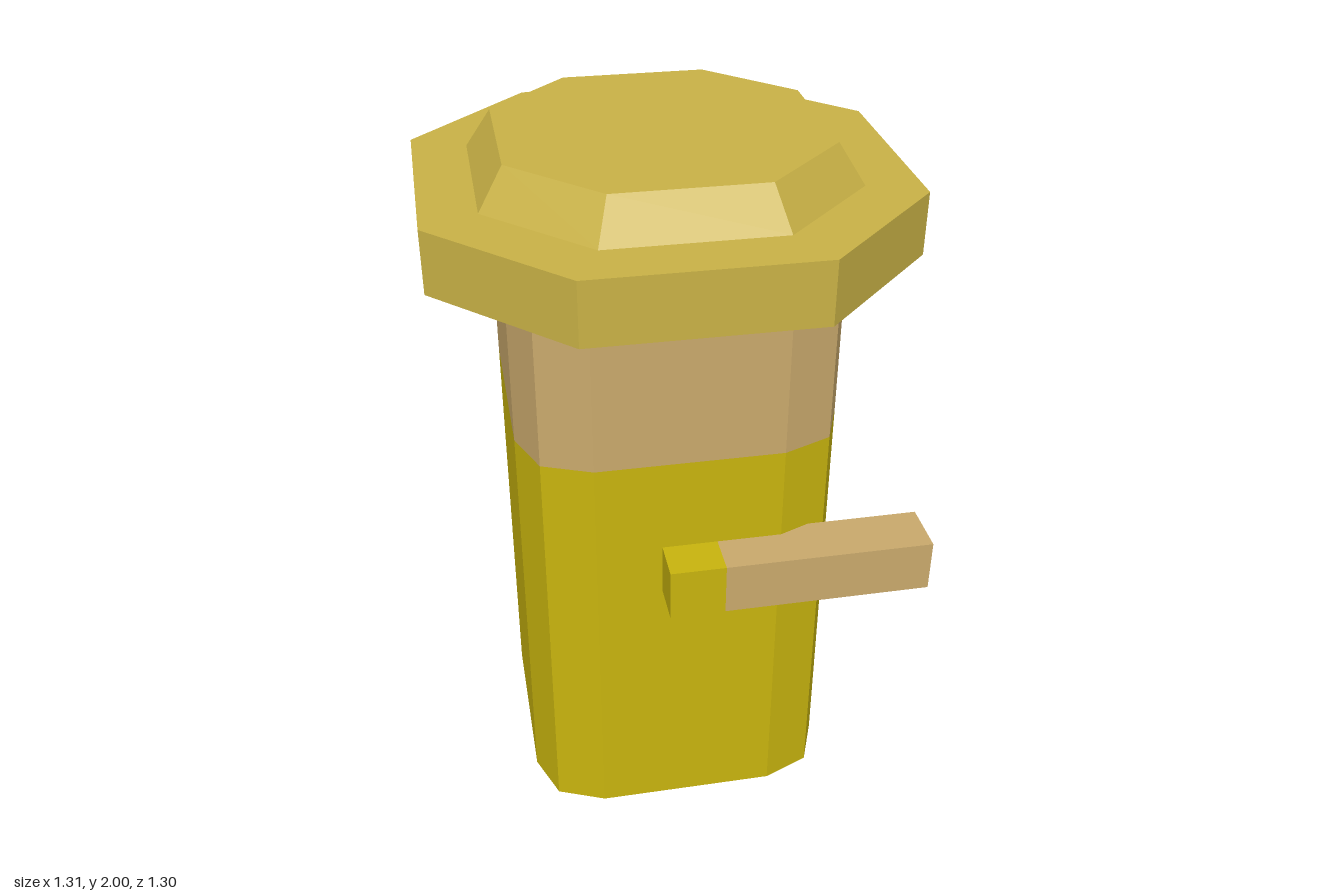
import * as THREE from 'three';

const mat = (color) => new THREE.MeshStandardMaterial({ color, flatShading: true });

// Mirror one corner's points (ordered from the +x side to the +z side) into a full outline of [x, z].
function outline(corner) {
  const back = [...corner].reverse();
  return [
    ...corner,
    ...back.map(([x, z]) => [-x, z]),
    ...corner.map(([x, z]) => [-x, -z]),
    ...back.map(([x, z]) => [x, -z]),
  ];
}

// Flat-sided solid through stacked outlines, with optional end caps.
function loft(rings, capBottom = true, capTop = true) {
  const pos = [];
  const n = rings[0].points.length;
  const at = (r, i) => [r.points[i % n][0], r.y, r.points[i % n][1]];
  for (let k = 0; k < rings.length - 1; k++) {
    const lo = rings[k], hi = rings[k + 1];
    for (let i = 0; i < n; i++) {
      const a = at(lo, i), b = at(lo, i + 1), c = at(hi, i + 1), d = at(hi, i);
      pos.push(...a, ...d, ...c, ...a, ...c, ...b);
    }
  }
  const first = rings[0], last = rings[rings.length - 1];
  for (let i = 1; i < n - 1; i++) {
    if (capBottom) pos.push(...at(first, 0), ...at(first, i), ...at(first, i + 1));
    if (capTop) pos.push(...at(last, 0), ...at(last, i + 1), ...at(last, i));
  }
  const g = new THREE.BufferGeometry();
  g.setAttribute('position', new THREE.Float32BufferAttribute(pos, 3));
  g.computeVertexNormals();
  return g;
}

export function createModel() {
  const model = new THREE.Group();
  const robe = mat(0xc8b40e), skin = mat(0xc9a96c), straw = mat(0xc9b246), dark = mat(0x2a2a2a);

  const add = (parent, name, geometry, material, x = 0, y = 0, z = 0) => {
    const mesh = new THREE.Mesh(geometry, material);
    mesh.name = name;
    mesh.position.set(x, y, z);
    parent.add(mesh);
    return mesh;
  };
  const box = (parent, name, material, [x0, x1], [y0, y1], [z0, z1]) =>
    add(parent, name, new THREE.BoxGeometry(x1 - x0, y1 - y0, z1 - z0), material,
      (x0 + x1) / 2, (y0 + y1) / 2, (z0 + z1) / 2);

  // Pillar body: square with faceted corners, robe below and head above
  const pillar = outline([[0.452, 0.26], [0.397, 0.397], [0.26, 0.452]]);
  add(model, 'robe', loft([{ y: 0, points: pillar }, { y: 1.235, points: pillar }], true, false), robe, -0.008, 0, 0.003);
  add(model, 'head', loft([{ y: 1.235, points: pillar }, { y: 1.73, points: pillar }], false, true), skin, -0.008, 0, 0.003);

  // Hat: wide octagonal brim and a low tapered crown
  const octagon = (half, corner) => outline([[half, corner], [corner, half]]);
  const hat = new THREE.Group();
  hat.name = 'hat';
  hat.position.set(-0.01, 0, -0.003);
  model.add(hat);
  const brim = octagon(0.648, 0.306);
  add(hat, 'brim', loft([{ y: 1.715, points: brim }, { y: 1.89, points: brim }]), straw);
  add(hat, 'crown', loft([{ y: 1.89, points: octagon(0.498, 0.236) }, { y: 2, points: octagon(0.43, 0.203) }], false, true), straw);

  // Arms reach toward +x with a short sleeve at the shoulder; eyes sit on the +x side
  for (const [side, s] of [['left', 1], ['right', -1]]) {
    const arm = new THREE.Group();
    arm.name = side === 'left' ? 'frontArm' : 'backArm';
    model.add(arm);
    const z = s > 0 ? [0.42, 0.575] : [-0.572, -0.42];
    box(arm, 'sleeve', robe, [-0.085, 0.07], [0.81, 0.962], z);
    box(arm, 'hand', skin, [0.07, 0.655], [0.81, 0.962], z);
    box(model, s > 0 ? 'frontEye' : 'backEye', dark, [0.40, 0.485], [1.57, 1.665],
      s > 0 ? [0.135, 0.23] : [-0.225, -0.13]);
  }
  return model;
}
